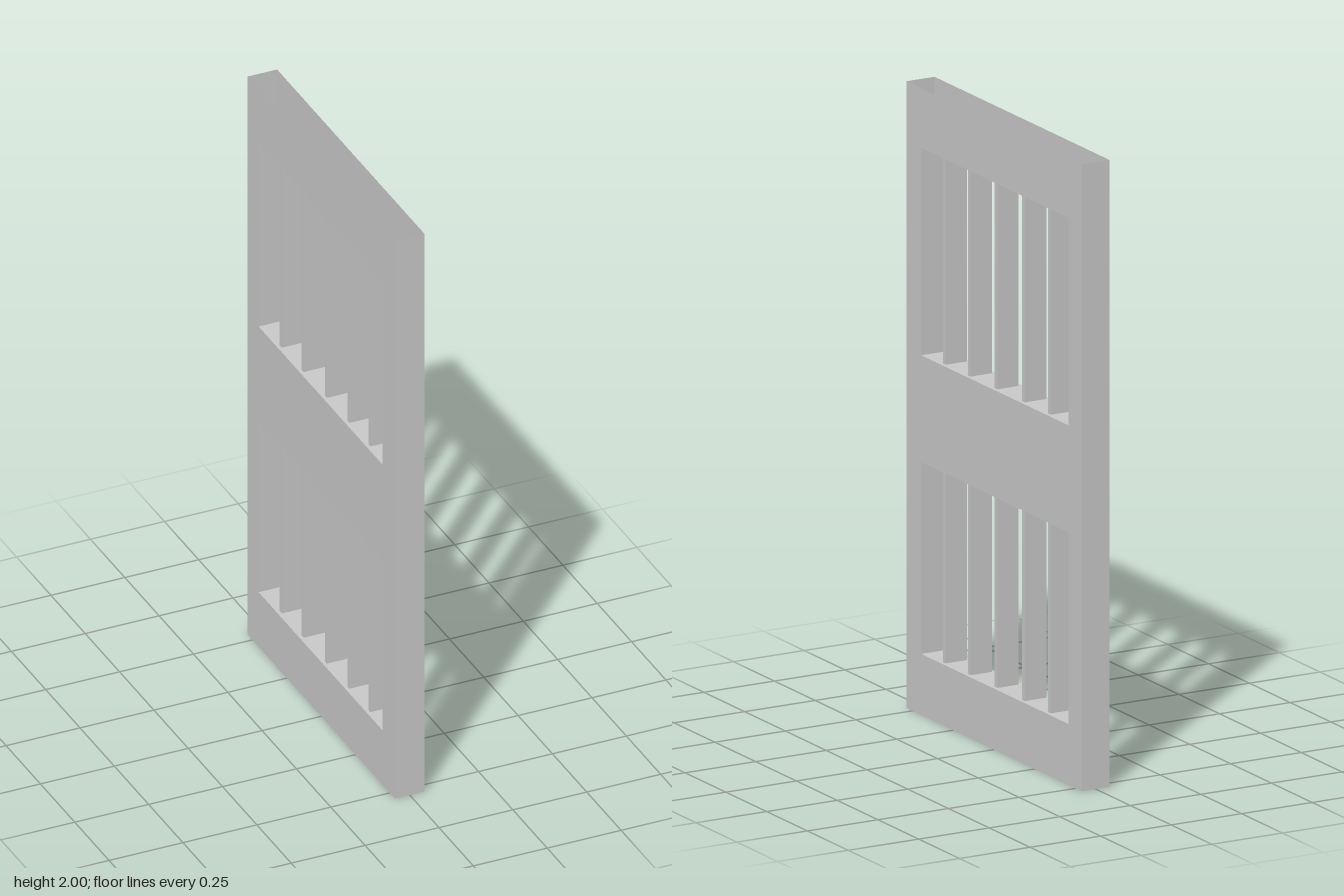
import * as THREE from 'three';

const HALF_X = 0.05, HALF_Z = 0.537, HEIGHT = 2;
const HOLE_BACK = -0.456, HOLE_FRONT = 0.446;
const OPENINGS = [
  { name: 'lower', y0: 0.195, y1: 0.807 },
  { name: 'upper', y0: 1.148, y1: 1.81 },
];
const BAR_Z = [-0.32, -0.161, 0.008, 0.172, 0.325];
const BAR_DEPTH = 0.076, BAR_WIDTH = 0.016;

const material = new THREE.MeshStandardMaterial({
  color: 0xcccccc, flatShading: true, side: THREE.DoubleSide,
});

function add(parent, name, geometry, x, y, z) {
  const mesh = new THREE.Mesh(geometry, material);
  mesh.name = name;
  mesh.position.set(x, y, z);
  parent.add(mesh);
  return mesh;
}

function rectangle(PathType, u0, u1, y0, y1) {
  return new PathType([[u0, y0], [u1, y0], [u1, y1], [u0, y1]]
    .map(([u, y]) => new THREE.Vector2(u, y)));
}

// Broad face with both window openings; side is +1 for +x, -1 for -x
function faceGeometry(side) {
  const shape = rectangle(THREE.Shape, -HALF_Z, HALF_Z, 0, HEIGHT);
  for (const { y0, y1 } of OPENINGS) {
    shape.holes.push(rectangle(THREE.Path, -side * HOLE_BACK, -side * HOLE_FRONT, y0, y1));
  }
  return new THREE.ShapeGeometry(shape).rotateY(side * Math.PI / 2);
}

export function createModel() {
  const model = new THREE.Group();
  model.name = 'barredPanel';

  // Hollow frame, open at the top and the bottom
  const frame = new THREE.Group();
  frame.name = 'frame';
  model.add(frame);
  for (const side of [1, -1]) {
    add(frame, side > 0 ? 'leftFace' : 'rightFace', faceGeometry(side), side * HALF_X, 0, 0);
    const edge = new THREE.PlaneGeometry(2 * HALF_X, HEIGHT);
    if (side < 0) edge.rotateY(Math.PI);
    add(frame, side > 0 ? 'frontEdge' : 'backEdge', edge, 0, HEIGHT / 2, side * HALF_Z);
  }

  // Opening linings and the upright bars, set slightly back from the faces
  const width = HOLE_FRONT - HOLE_BACK, midZ = (HOLE_FRONT + HOLE_BACK) / 2;
  for (const { name, y0, y1 } of OPENINGS) {
    const opening = new THREE.Group();
    opening.name = name + 'Opening';
    model.add(opening);
    const height = y1 - y0, midY = (y0 + y1) / 2;
    const level = () => new THREE.PlaneGeometry(2 * HALF_X, width);
    const upright = () => new THREE.PlaneGeometry(2 * HALF_X, height);
    add(opening, 'sill', level().rotateX(-Math.PI / 2), 0, y0, midZ);
    add(opening, 'lintel', level().rotateX(Math.PI / 2), 0, y1, midZ);
    add(opening, 'backJamb', upright(), 0, midY, HOLE_BACK);
    add(opening, 'frontJamb', upright().rotateY(Math.PI), 0, midY, HOLE_FRONT);
    for (const z of BAR_Z) {
      add(opening, 'bar', new THREE.BoxGeometry(BAR_DEPTH, height, BAR_WIDTH), 0, midY, z);
    }
  }
  return model;
}
